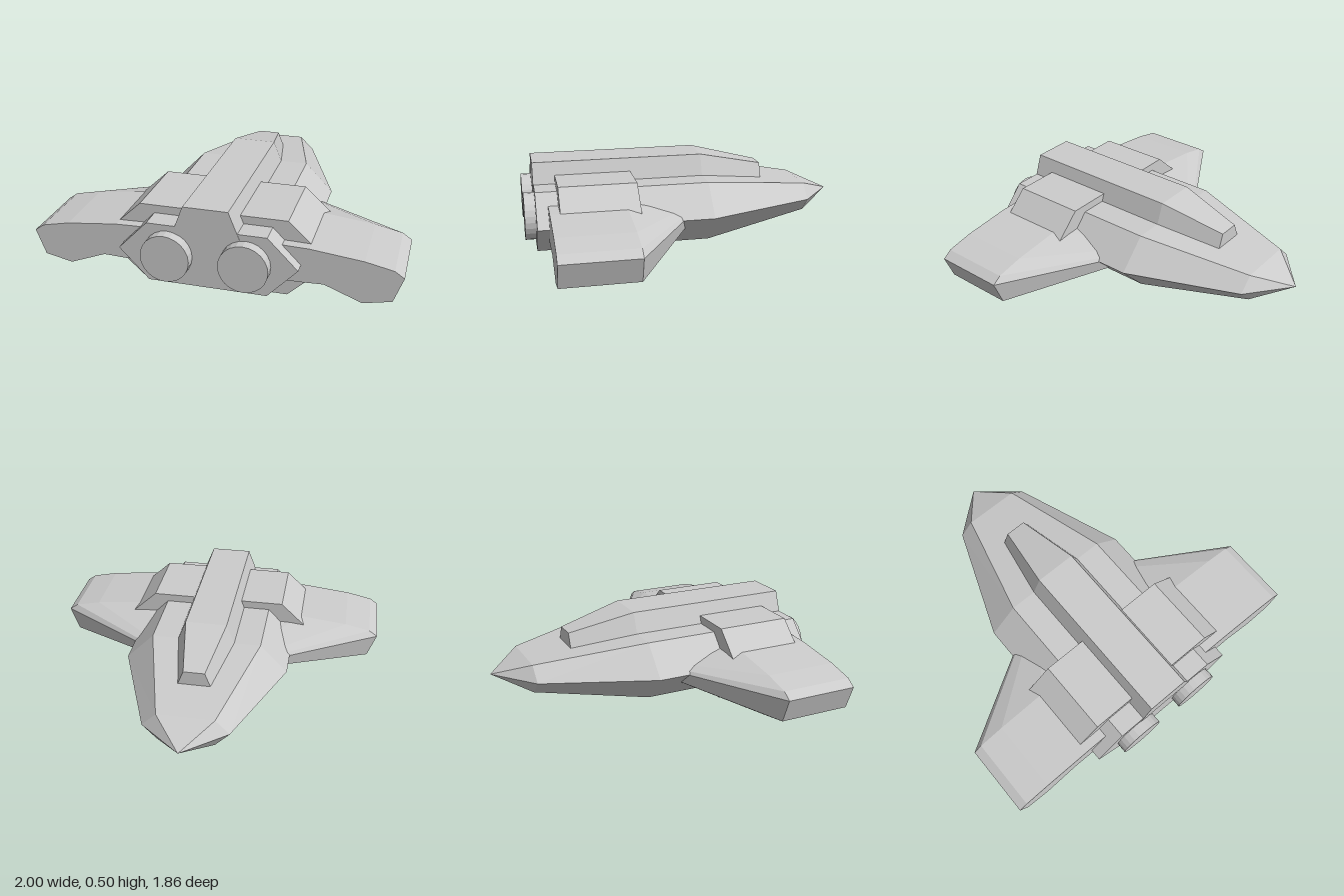
import * as THREE from 'three';

const material = new THREE.MeshStandardMaterial({ color: 0xcccccc, flatShading: true });

// Full outline from the +x half, listed from bottom to top.
const mirror = half => [...half, ...half.map(([x, y]) => [-x, y]).reverse()];

// Faceted solid through outlines given from high z to low z.
function loft(name, sections) {
  const rings = sections.map(s => s.points.map(([x, y]) => new THREE.Vector3(x, y, s.z)));
  const n = rings[0].length;
  const positions = [];
  const tri = (a, b, c) => {
    const area = b.clone().sub(a).cross(c.clone().sub(a)).length();
    if (area > 1e-7) for (const p of [a, b, c]) positions.push(p.x, p.y, p.z);
  };
  for (let k = 0; k < rings.length - 1; k++) {
    const near = rings[k], far = rings[k + 1];
    for (let i = 0; i < n; i++) {
      const j = (i + 1) % n;
      tri(near[i], far[i], far[j]);
      tri(near[i], far[j], near[j]);
    }
  }
  const cap = (ring, flip) => {
    const contour = ring.map(p => new THREE.Vector2(p.x, p.y));
    for (const [a, b, c] of THREE.ShapeUtils.triangulateShape(contour, [])) {
      if (flip) tri(ring[a], ring[c], ring[b]);
      else tri(ring[a], ring[b], ring[c]);
    }
  };
  const pointed = rings.at(-1).every(p => p.equals(rings.at(-1)[0]));
  cap(rings[0], false);
  if (!pointed) cap(rings.at(-1), true);

  const geometry = new THREE.BufferGeometry();
  geometry.setAttribute('position', new THREE.Float32BufferAttribute(positions, 3));
  geometry.computeVertexNormals();
  const mesh = new THREE.Mesh(geometry, material);
  mesh.name = name;
  return mesh;
}

const point = (y, count) => Array.from({ length: count }, () => [0, y]);

export function createModel() {
  const ship = new THREE.Group();
  ship.name = 'spaceship';

  // Six-sided hull narrowing to a pointed nose
  const hullRear = mirror([[0.32, 0.05], [0.48, 0.22], [0.32, 0.385]]);
  const hullNose = mirror([[0.16, 0.137], [0.24, 0.22], [0.16, 0.3]]);
  ship.add(loft('hull', [
    { z: 0.87, points: hullRear },
    { z: -0.1, points: hullRear },
    { z: -0.73, points: hullNose },
    { z: -0.93, points: point(0.22, 6) },
  ]));

  // Raised spine along the top
  const spineRear = mirror([[0.187, 0.33], [0.12, 0.502]]);
  ship.add(loft('spine', [
    { z: 0.872, points: spineRear },
    { z: -0.1, points: spineRear },
    { z: -0.48, points: mirror([[0.095, 0.325], [0.06, 0.415]]) },
  ]));

  // Collar wrapped round the hull
  const collar = mirror([[0.4, 0], [0.63, 0.215], [0.4, 0.43]]);
  ship.add(loft('collar', [
    { z: 0.75, points: collar },
    { z: 0.32, points: collar },
  ]));

  // Both wings as one drooped section, swept to a point inside the hull
  const wing = mirror([
    [0.48, 0.12], [0.6, 0.125], [0.8, 0.047], [0.95, 0.08],
    [1, 0.22], [0.95, 0.255], [0.8, 0.287], [0.52, 0.318], [0.38, 0.322],
  ]);
  ship.add(loft('wings', [
    { z: 0.805, points: wing },
    { z: 0.39, points: wing },
    { z: -0.205, points: point(0.216, wing.length) },
  ]));

  // Engine nozzles
  for (const side of [-1, 1]) {
    const geometry = new THREE.CylinderGeometry(0.132, 0.132, 0.16, 24).rotateX(Math.PI / 2);
    const engine = new THREE.Mesh(geometry, material);
    engine.name = side > 0 ? 'leftEngine' : 'rightEngine';
    engine.position.set(side * 0.208, 0.22, 0.85);
    ship.add(engine);
  }
  return ship;
}
